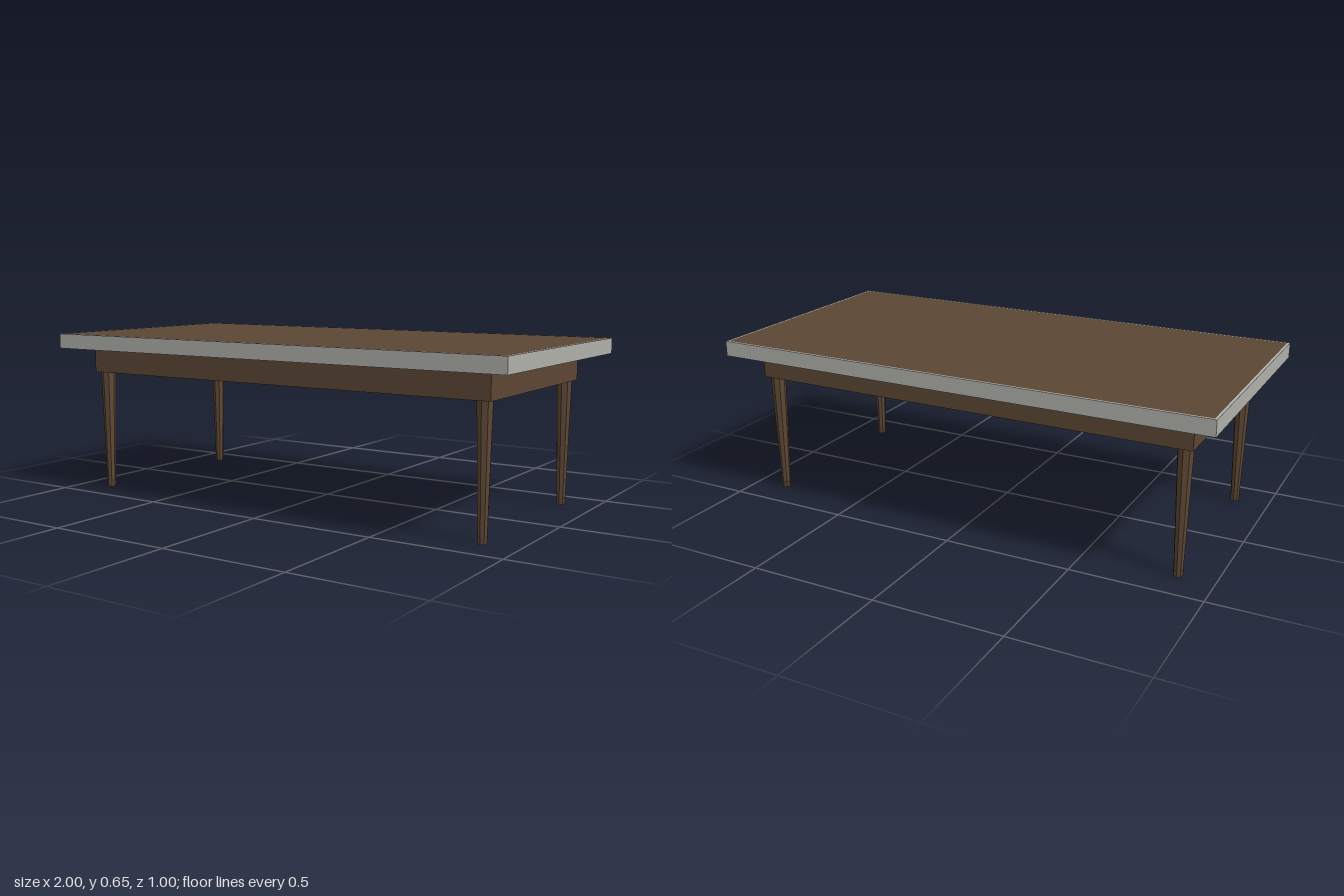
import * as THREE from 'three';

export function createModel() {
  const table = new THREE.Group();
  table.name = 'table';
  const wood = new THREE.MeshStandardMaterial({ color: 0x5c4634, flatShading: true });
  wood.name = 'dark wood';
  const metal = new THREE.MeshStandardMaterial({ color: 0xb0b1ab, flatShading: true });
  metal.name = 'grey metal';

  const add = (name, geometry, material, x, y, z, parent = table) => {
    const mesh = new THREE.Mesh(geometry, material);
    mesh.name = name;
    mesh.position.set(x, y, z);
    parent.add(mesh);
    return mesh;
  };

  // Wooden top held in a thin metal edge band
  add('tabletop', new THREE.BoxGeometry(1.98, 0.06, 0.98), wood, 0, 0.621, 0);
  for (const s of [-1, 1]) {
    add('longEdgeBand', new THREE.BoxGeometry(2, 0.06, 0.01), metal, 0, 0.621, s * 0.495);
    add('shortEdgeBand', new THREE.BoxGeometry(0.01, 0.06, 0.98), metal, s * 0.995, 0.621, 0);
  }

  // Closed apron box under the top
  add('apron', new THREE.BoxGeometry(1.8, 0.101, 0.8), wood, 0, 0.5405, 0);

  // Tapered eight-sided legs with small bevelled feet
  const legGeometry = new THREE.CylinderGeometry(0.03, 0.018, 0.465, 8);
  const footGeometry = new THREE.CylinderGeometry(0.0195, 0.017, 0.026, 8);
  for (const x of [-0.863, 0.863]) {
    for (const z of [-0.363, 0.363]) {
      const leg = new THREE.Group();
      leg.name = (z > 0 ? 'front' : 'back') + (x > 0 ? 'Left' : 'Right') + 'Leg';
      leg.position.set(x, 0, z);
      add('legShaft', legGeometry, wood, 0, 0.2575, 0, leg);
      add('foot', footGeometry, wood, 0, 0.013, 0, leg);
      table.add(leg);
    }
  }
  return table;
}
